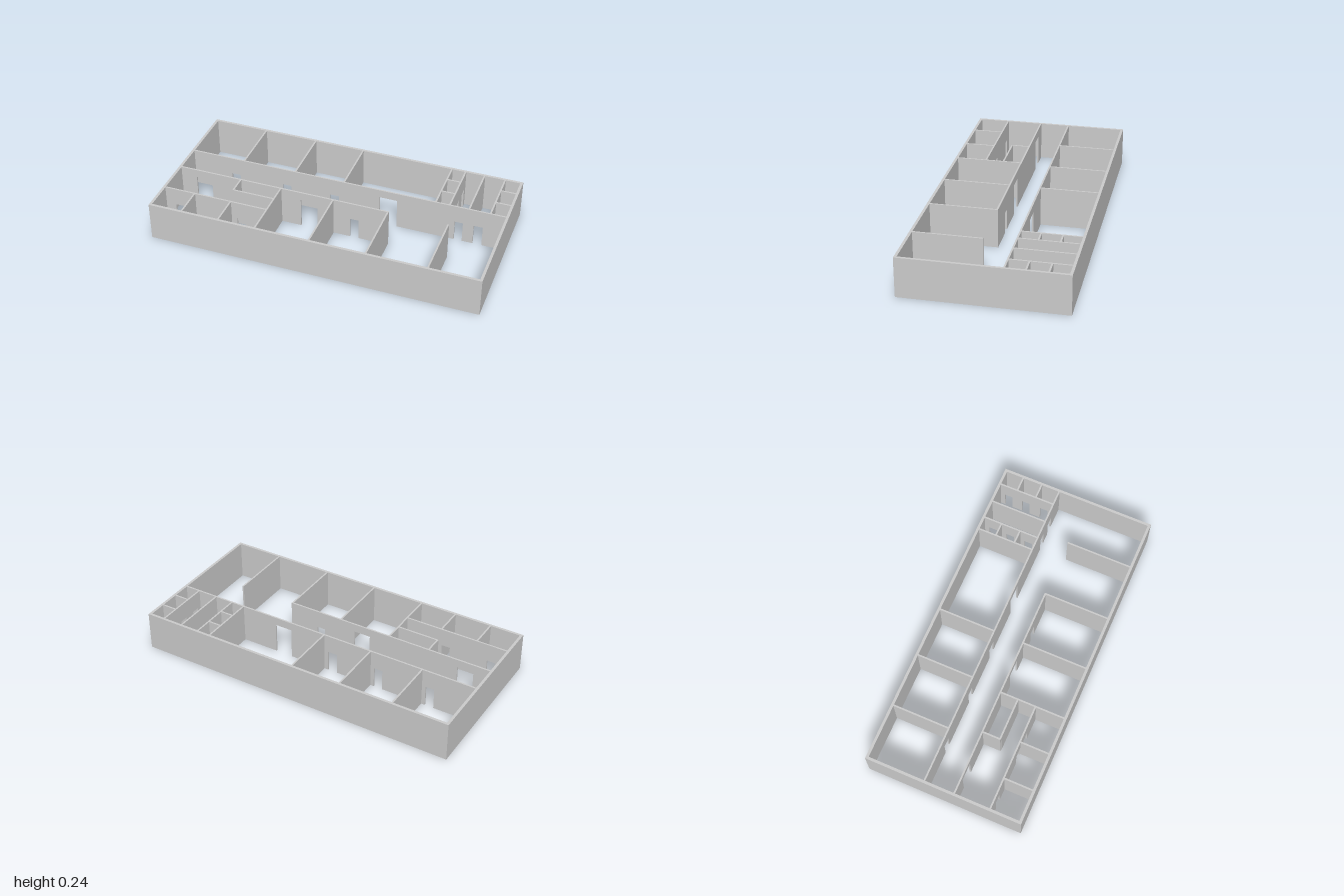
import * as THREE from 'three';

const H = 0.24;        // wall height
const LOW = 0.13;      // single door height
const TALL = 0.19;     // double door height
const INNER = 0.01, OUTER = 0.016;

const material = new THREE.MeshStandardMaterial({ color: 0xcccccc, flatShading: true });

// Wall outline from a to b with floor-level notches for doors [start, end, height]
function wallGeometry(a, b, thickness, doors) {
  const s = new THREE.Shape();
  s.moveTo(a, 0);
  for (const [d0, d1, h] of doors) {
    s.lineTo(d0, 0);
    s.lineTo(d0, h);
    s.lineTo(d1, h);
    s.lineTo(d1, 0);
  }
  s.lineTo(b, 0);
  s.lineTo(b, H);
  s.lineTo(a, H);
  s.closePath();
  const g = new THREE.ExtrudeGeometry(s, { depth: thickness, bevelEnabled: false });
  return g.translate(0, 0, -thickness / 2);
}

export function createModel() {
  const model = new THREE.Group();
  model.name = 'floorPlan';

  // Wall running along x at depth z
  const alongX = (name, z, x0, x1, doors = [], t = INNER) => {
    const m = new THREE.Mesh(wallGeometry(x0, x1, t, doors), material);
    m.name = name;
    m.position.z = z;
    model.add(m);
  };

  // Wall running along z at position x
  const alongZ = (name, x, z0, z1, doors = [], t = INNER) => {
    const flipped = doors.map(([a, b, h]) => [-b, -a, h]).reverse();
    const m = new THREE.Mesh(wallGeometry(-z1, -z0, t, flipped), material);
    m.name = name;
    m.rotation.y = Math.PI / 2;
    m.position.x = x;
    model.add(m);
  };

  // Outer shell
  const o = OUTER / 2;
  alongX('frontWall', 0.48 - o, -1, 1, [], OUTER);
  alongX('backWall', -0.48 + o, -1, 1, [], OUTER);
  alongZ('leftWall', 1 - o, -0.464, 0.464, [], OUTER);
  alongZ('rightWall', -1 + o, -0.464, 0.464, [], OUTER);

  // Corridor walls
  alongX('backCorridorWall', -0.117, -0.984, 0.984, [
    [-0.735, -0.68, LOW], [-0.4, -0.345, LOW], [-0.095, -0.035, LOW],
    [0.22, 0.33, TALL], [0.685, 0.735, LOW], [0.8, 0.855, LOW],
  ]);
  alongX('frontCorridorWall', 0.067, -0.984, 0.335, [
    [-0.885, -0.783, TALL], [-0.21, -0.105, TALL], [0.1, 0.153, LOW],
  ]);

  // Partitions of the back rooms
  for (const x of [-0.652, -0.318, -0.006, 0.765]) {
    alongZ('backRoomPartition', x, -0.464, -0.122);
  }

  // Washroom cubicles with their doors
  const cubicleDoors = [[-0.435, -0.385, LOW], [-0.32, -0.27, LOW], [-0.2, -0.15, LOW]];
  alongZ('washroomPartition', 0.563, -0.464, -0.122);
  alongZ('cubicleFront', 0.648, -0.464, -0.122, cubicleDoors);
  alongZ('cubicleFront', 0.892, -0.464, -0.122, cubicleDoors);
  for (const z of [-0.355, -0.233]) {
    alongX('cubicleDivider', z, 0.568, 0.643);
    alongX('cubicleDivider', z, 0.897, 0.984);
  }

  // Partitions of the front rooms
  for (const x of [-0.337, -0.008, 0.33]) {
    alongZ('frontRoomPartition', x, 0.072, 0.464);
  }
  alongZ('entrancePartition', 0.69, 0.062, 0.464);

  // Small offices and store
  alongX('officeFront', 0.287, -0.984, -0.342, [
    [-0.922, -0.868, LOW], [-0.628, -0.575, LOW], [-0.525, -0.47, LOW],
  ]);
  for (const x of [-0.795, -0.565]) {
    alongZ('officePartition', x, 0.292, 0.464);
  }
  alongZ('storeSide', -0.595, 0.072, 0.18);
  alongX('storeFront', 0.177, -0.59, -0.342);

  return model;
}
